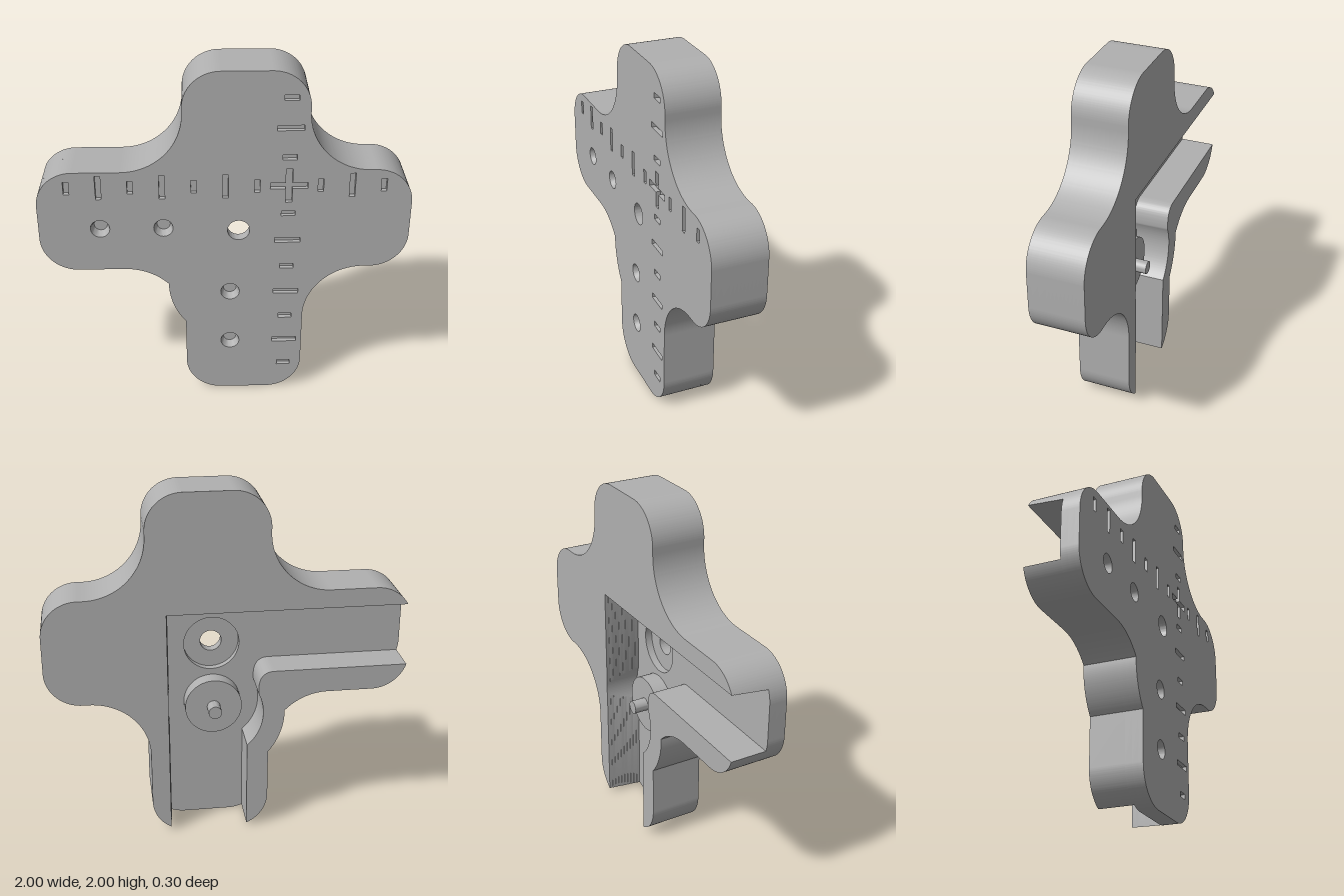
import * as THREE from 'three';
import { toCreasedNormals } from 'three/addons/utils/BufferGeometryUtils.js';

const PI = Math.PI;
const CAM = { x: 0.075, y: 0.73, r: 0.265 };   // roller position and clearance radius

// Outer contour from the bottom right corner round to the left arm's upper corner
function upperContour(s, startAngle, endAngle) {
  s.absarc(0.24, 0.2, 0.2, startAngle, 0, false);
  s.absarc(0.77, 0.51, 0.33, PI, PI / 2, true);
  s.absarc(0.8, 1.04, 0.2, -PI / 2, 0, false);
  s.absarc(0.8, 1.24, 0.2, 0, PI / 2, false);
  s.absarc(0.77, 1.77, 0.33, -PI / 2, -PI, true);
  s.absarc(0.24, 1.8, 0.2, 0, PI / 2, false);
  s.absarc(-0.02, 1.8, 0.2, PI / 2, PI, false);
  s.absarc(-0.55, 1.77, 0.33, 0, -PI / 2, true);
  s.absarc(-0.8, 1.24, 0.2, PI / 2, endAngle, false);
}

// Outer contour from the left arm's lower corner, past the bulge, to the bottom left corner
function lowerContour(s, startAngle, endAngle) {
  s.absarc(-0.8, 1.04, 0.2, startAngle, 1.5 * PI, false);
  s.absarc(-0.55, 0.51, 0.33, PI / 2, Math.acos(0.24 / 0.33), true);
  s.absarc(0.08, 0.73, 0.39, PI, 2 * PI - Math.acos(-0.3 / 0.39), false);
  s.absarc(-0.02, 0.2, 0.2, PI, endAngle, false);
}

function fullShape() {
  const s = new THREE.Shape();
  upperContour(s, -PI / 2, PI);
  lowerContour(s, PI, 1.5 * PI);
  return s;
}

// Large back block; w and t are the x and y of its two channel walls
function upperBlockShape(w, t) {
  const s = new THREE.Shape();
  upperContour(s, -Math.acos((w - 0.24) / 0.2), PI - Math.asin((t - 1.24) / 0.2));
  s.lineTo(w, t);
  const a = Math.acos(Math.min(1, (w - CAM.x) / CAM.r));
  if (a > 0) s.absarc(CAM.x, CAM.y, CAM.r, a, -a, true);
  return s;
}

// Small back block in the inner corner, hollowed around the roller
function lowerBlockShape() {
  const s = new THREE.Shape();
  lowerContour(s, PI + Math.asin(0.3), 2 * PI - Math.acos(-0.4));
  s.absarc(CAM.x, CAM.y, CAM.r, 2 * PI - Math.acos(-0.175 / CAM.r), PI - 0.45, true);
  s.quadraticCurveTo(-0.15, 0.98, -0.25, 0.98);
  return s;
}

function circlePath(x, y, r) {
  return new THREE.Path().absarc(x, y, r, 0, 2 * PI, true);
}

function polyPath(x, y, pts) {
  return new THREE.Path(pts.map(([a, b]) => new THREE.Vector2(x + a, y + b)));
}

function rectPath(x, y, w, h) {
  return polyPath(x, y, [[-w / 2, -h / 2], [w / 2, -h / 2], [w / 2, h / 2], [-w / 2, h / 2]]);
}

export function createModel() {
  const group = new THREE.Group();
  const grey = new THREE.MeshStandardMaterial({ color: 0xb0b0b0 });
  grey.name = 'grey';

  function add(name, geometry, x = 0, y = 0, z = 0) {
    const mesh = new THREE.Mesh(toCreasedNormals(geometry, 0.5), grey);
    mesh.name = name;
    mesh.position.set(x, y, z);
    group.add(mesh);
  }
  function slab(name, shape, z0, z1, holes = []) {
    shape.holes.push(...holes);
    add(name, new THREE.ExtrudeGeometry(shape, {
      depth: z1 - z0, bevelEnabled: false, curveSegments: 28
    }), 0, 0, z0);
  }

  // Engraved scale marks along both axes, with a cross at the origin
  const marks = [];
  for (let i = -7; i <= 3; i++) {
    if (i === 0) continue;
    const length = i % 2 ? 0.075 : 0.14;
    marks.push(rectPath(0.34 + i * 0.168, 1.35, 0.03, length));
    marks.push(rectPath(0.34, 1.35 + i * 0.168, length, 0.03));
  }
  const a = 0.018, b = 0.1;
  marks.push(polyPath(0.34, 1.35, [[-a, -b], [a, -b], [a, -a], [b, -a], [b, a], [a, a],
    [a, b], [-a, b], [-a, a], [-b, a], [-b, -a], [-a, -a]]));

  // Front plate in layers: scale, body, and recess at the back
  const sockets = [[-0.67, 1.1], [-0.33, 1.1], [0.03, 0.68], [0.03, 0.34]];
  const holes = () => [circlePath(0.075, 1.08, 0.06),
    ...sockets.map(([x, y]) => circlePath(x, y, 0.052))];
  slab('scalePlate', fullShape(), 0.125, 0.15, [...holes(), ...marks]);
  slab('middlePlate', fullShape(), 0.09, 0.125, holes());
  slab('recessPlate', fullShape(), 0.05, 0.09, [circlePath(0.075, 1.08, 0.155)]);

  // Tapered blind sockets
  for (const [x, y] of sockets) {
    const profile = [[0.052, 0.15], [0.036, 0.1], [0, 0.1]].map(p => new THREE.Vector2(...p));
    add('socket', new THREE.LatheGeometry(profile, 32).rotateX(PI / 2), x, y, 0);
  }

  // Back block whose channel walls step slightly inwards towards the floor
  const steps = 10;
  for (let i = 0; i < steps; i++) {
    const inset = 0.017 * i / (steps - 1), z = -0.15 + 0.2 * i / steps;
    slab('steppedWall', upperBlockShape(0.337 - inset, 1.337 - inset), z, z + 0.2 / steps);
  }
  slab('innerBlock', lowerBlockShape(), -0.15, 0.05);

  // Roller and its pin
  add('roller', new THREE.CylinderGeometry(0.16, 0.16, 0.09, 48).rotateX(PI / 2), CAM.x, CAM.y, 0.005);
  add('rollerPin', new THREE.CylinderGeometry(0.037, 0.037, 0.08, 32).rotateX(PI / 2), CAM.x, CAM.y, -0.08);

  return group;
}
